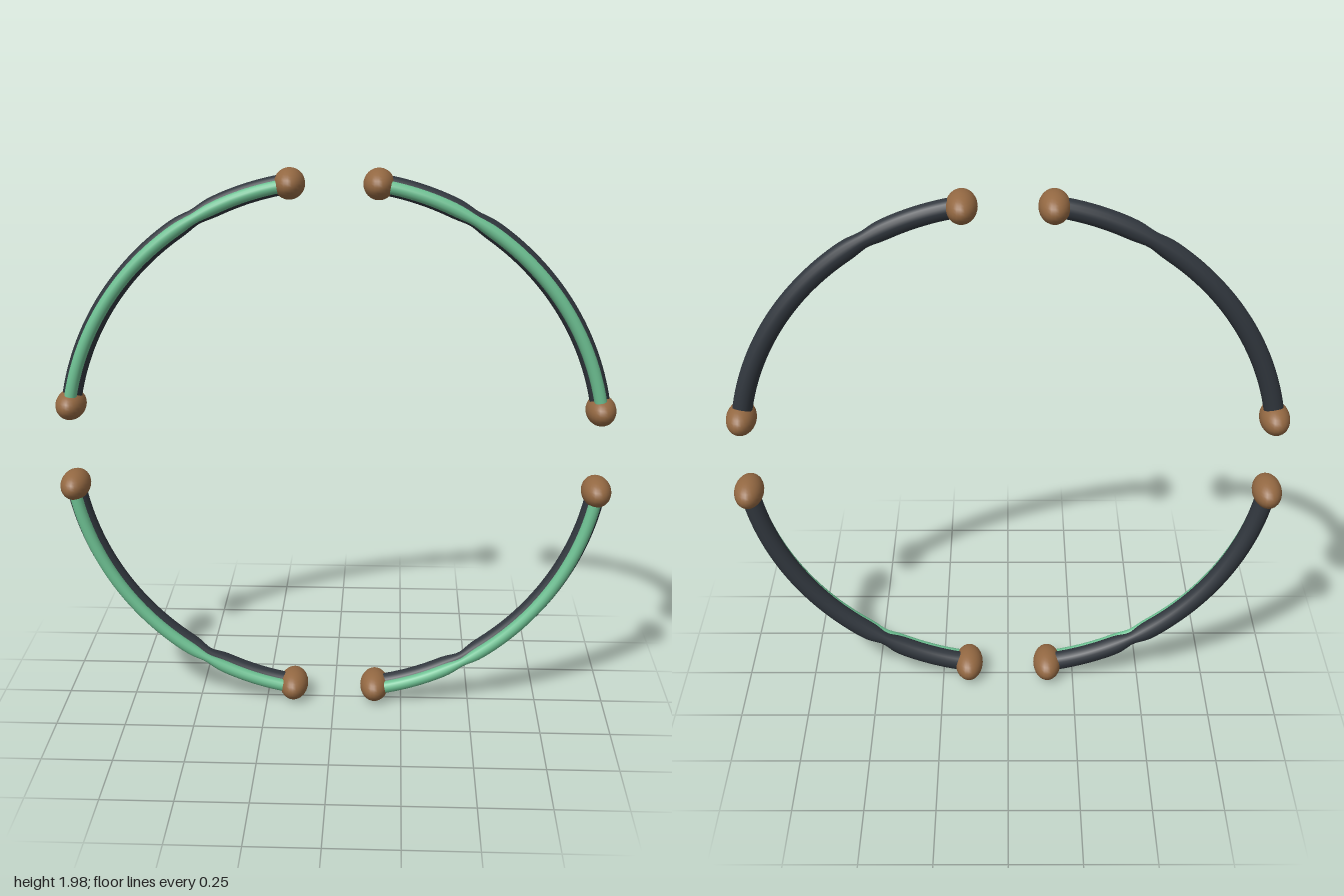
import * as THREE from 'three';

const R = 0.947;                 // ring radius
const GAP = 0.16;                // half angle of the gap between arcs
const SEGMENTS = 64, SIDES = 16;

// Quarter arc in the xy plane, centred on (0, 1)
class ArcCurve extends THREE.Curve {
  constructor(start, end, z) {
    super();
    this.start = start;
    this.end = end;
    this.z = z;
  }
  getPoint(t, target = new THREE.Vector3()) {
    const a = THREE.MathUtils.lerp(this.start, this.end, t);
    return target.set(R * Math.cos(a), 1 + R * Math.sin(a), this.z);
  }
}

// Tube along the arc, narrowed around the pinch angle
function pinchedTube(start, end, z, radius, pinchAngle, depth) {
  const curve = new ArcCurve(start, end, z);
  const geometry = new THREE.TubeGeometry(curve, SEGMENTS, radius, SIDES, false);
  const pos = geometry.attributes.position;
  const v = new THREE.Vector3(), c = new THREE.Vector3();
  for (let i = 0; i < pos.count; i++) {
    const t = Math.floor(i / (SIDES + 1)) / SEGMENTS;
    const d = (THREE.MathUtils.lerp(start, end, t) - pinchAngle) / 0.045;
    curve.getPointAt(t, c);
    v.fromBufferAttribute(pos, i).sub(c).multiplyScalar(1 - depth * Math.exp(-d * d)).add(c);
    pos.setXYZ(i, v.x, v.y, v.z);
  }
  return geometry;
}

export function createModel() {
  const material = (name, color) => new THREE.MeshStandardMaterial({ name, color });
  const dark = material('charcoal', 0x30363d);
  const green = material('green', 0x6dc092);
  const brown = material('brown', 0x936842);
  const model = new THREE.Group();
  model.name = 'segmentedRing';

  const add = (parent, name, geometry, mat) => {
    const mesh = new THREE.Mesh(geometry, mat);
    mesh.name = name;
    parent.add(mesh);
    return mesh;
  };

  const knob = new THREE.SphereGeometry(1, 24, 16);
  const names = ['upperLeftArc', 'upperRightArc', 'lowerRightArc', 'lowerLeftArc'];

  names.forEach((name, q) => {
    const start = q * Math.PI / 2 + GAP;
    const end = (q + 1) * Math.PI / 2 - GAP;
    // Pinches sit toward the top and bottom of the ring, mirrored left to right
    const pinch = [60, 120, 240, 300][q] * Math.PI / 180;
    const depth = q < 2 ? 0.2 : 0.34;
    const arc = new THREE.Group();
    arc.name = name;
    model.add(arc);

    add(arc, 'darkTube', pinchedTube(start, end, 0, 0.035, pinch, depth), dark);
    add(arc, 'greenStrip', pinchedTube(start, end, 0.036, 0.022, pinch, depth), green);

    // Oval knobs over both tube ends
    for (const a of [start, end]) {
      const cap = add(arc, 'endKnob', knob, brown);
      cap.position.set(R * Math.cos(a), 1 + R * Math.sin(a), 0);
      cap.scale.set(0.053, 0.053, 0.09);
    }
  });
  return model;
}
